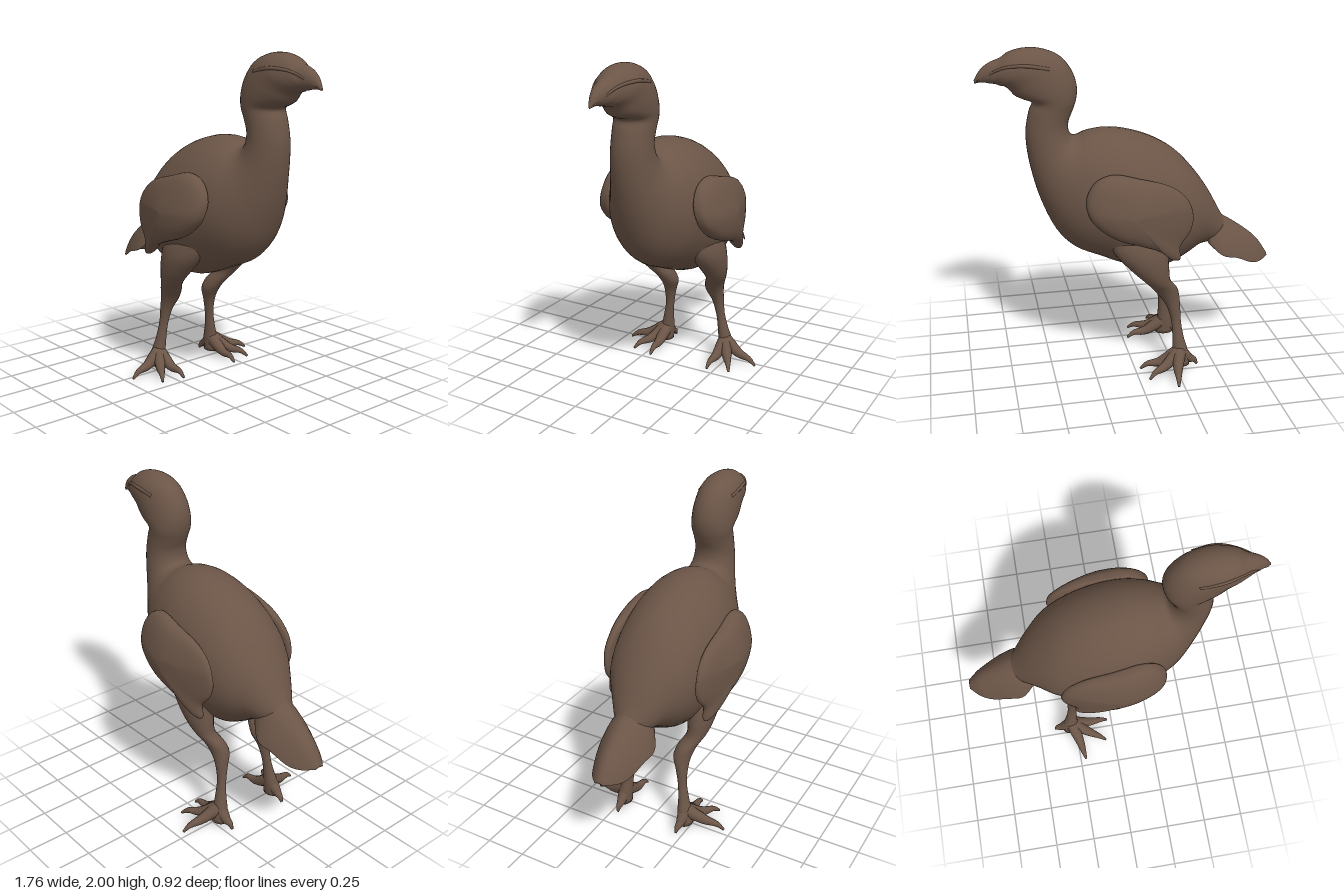
import * as THREE from 'three';

const V = (x, y, z) => new THREE.Vector3(x, y, z);
const brown = new THREE.MeshStandardMaterial({ color: 0x6b5547 });
brown.name = 'brownPlumage';

// Smooth closed skin over a list of rings, with a point in the middle of each end
function skin(rings) {
  const n = rings[0].length, pos = [], idx = [];
  rings.forEach(r => r.forEach(p => pos.push(p.x, p.y, p.z)));
  for (let i = 0; i < rings.length - 1; i++) {
    for (let j = 0; j < n; j++) {
      const a = i * n + j, b = i * n + (j + 1) % n;
      idx.push(a, b, a + n, b, b + n, a + n);
    }
  }
  [0, rings.length - 1].forEach((r, end) => {
    const c = rings[r].reduce((s, p) => s.add(p), V(0, 0, 0)).divideScalar(n);
    const k = pos.length / 3;
    pos.push(c.x, c.y, c.z);
    for (let j = 0; j < n; j++) {
      const a = r * n + j, b = r * n + (j + 1) % n;
      end ? idx.push(k, a, b) : idx.push(k, b, a);
    }
  });
  const g = new THREE.BufferGeometry();
  g.setAttribute('position', new THREE.Float32BufferAttribute(pos, 3));
  g.setIndex(idx);
  g.computeVertexNormals();
  return g;
}

// Ring of points around c with half axes u and v
function ring(c, u, v, n = 16) {
  return Array.from({ length: n }, (_, j) => {
    const a = j / n * Math.PI * 2;
    return c.clone().addScaledVector(u, Math.cos(a)).addScaledVector(v, Math.sin(a));
  });
}

// Spline through values of several columns, sampled evenly by row
function sample(rows, steps) {
  const half = k => new THREE.CatmullRomCurve3(
    rows.map(r => V(r[k] ?? 0, r[k + 1] ?? 0, r[k + 2] ?? 0)), false, 'catmullrom', 0.5);
  const a = half(0), b = half(3);
  return Array.from({ length: steps + 1 }, (_, i) => [...a.getPoint(i / steps), ...b.getPoint(i / steps)]);
}

// Tapering round limb along a path
function limb(points, r0, r1, steps = 10, n = 10) {
  const curve = new THREE.CatmullRomCurve3(points);
  const f = curve.computeFrenetFrames(steps);
  return skin(Array.from({ length: steps + 1 }, (_, i) => {
    const r = r0 + (r1 - r0) * Math.pow(i / steps, 1.5);
    return ring(curve.getPointAt(i / steps), f.normals[i].clone().multiplyScalar(r),
      f.binormals[i].clone().multiplyScalar(r), n);
  }));
}

function mirrored(geo) {
  const g = geo.clone().scale(1, 1, -1);
  g.setIndex(Array.from(geo.index.array).reverse());
  g.computeVertexNormals();
  return g;
}

export function createModel() {
  const group = new THREE.Group();
  const add = (name, geo) => {
    const m = new THREE.Mesh(geo, brown);
    m.name = name;
    group.add(m);
  };
  const addPair = (name, geo) => {
    add(name + 'Right', geo);
    add(name + 'Left', mirrored(geo));
  };

  // Body, neck, head and beak: upper x, y, half width, lower x, y
  const trunk = [
    [-0.63, 0.86, 0.03, -0.6, 0.8], [-0.57, 0.945, 0.1, -0.53, 0.765], [-0.48, 1.11, 0.18, -0.42, 0.752],
    [-0.38, 1.25, 0.25, -0.33, 0.70], [-0.27, 1.365, 0.29, -0.22, 0.645],
    [-0.13, 1.45, 0.315, -0.08, 0.635], [0.02, 1.5, 0.32, 0.05, 0.67],
    [0.14, 1.515, 0.305, 0.19, 0.73], [0.24, 1.505, 0.27, 0.34, 0.80],
    [0.305, 1.482, 0.225, 0.45, 0.92], [0.34, 1.487, 0.175, 0.53, 1.1],
    [0.355, 1.51, 0.143, 0.575, 1.26], [0.36, 1.54, 0.127, 0.6, 1.4],
    [0.355, 1.58, 0.12, 0.605, 1.52], [0.33, 1.64, 0.12, 0.585, 1.63],
    [0.31, 1.7, 0.125, 0.565, 1.69], [0.305, 1.78, 0.13, 0.62, 1.715],
    [0.335, 1.87, 0.13, 0.66, 1.735], [0.4, 1.95, 0.125, 0.69, 1.77],
    [0.5, 1.993, 0.118, 0.715, 1.79], [0.6, 2.0, 0.1, 0.74, 1.795],
    [0.68, 1.982, 0.08, 0.765, 1.805], [0.73, 1.95, 0.06, 0.79, 1.808],
    [0.80, 1.922, 0.04, 0.825, 1.815], [0.85, 1.88, 0.022, 0.855, 1.815],
    [0.88, 1.83, 0.006, 0.88, 1.81],
  ];
  add('bodyNeckAndHead', skin(sample(trunk, 100).map(([tx, ty, w, bx, by]) =>
    ring(V((tx + bx) / 2, (ty + by) / 2, 0), V((tx - bx) / 2, (ty - by) / 2, 0), V(0, 0, w), 40))));

  // Ridge from eye to beak
  addPair('brow', limb([V(0.47, 1.895, 0.105), V(0.6, 1.918, 0.11), V(0.72, 1.905, 0.074),
    V(0.8, 1.865, 0.04), V(0.865, 1.825, 0.012)], 0.012, 0.004, 16, 8));

  // Wings: domed outline, flatter towards the back
  const outline = new THREE.CatmullRomCurve3([
    [-0.32, 1.03], [-0.29, 1.14], [-0.19, 1.23], [0, 1.29], [0.15, 1.32], [0.25, 1.28], [0.305, 1.18],
    [0.29, 1.08], [0.22, 1.0], [0.12, 0.94], [0, 0.9], [-0.12, 0.85], [-0.19, 0.79], [-0.24, 0.785],
    [-0.24, 0.87], [-0.3, 0.95]].map(p => V(p[0], p[1], 0)), true).getPoints(63).slice(0, -1);
  const wing = [];
  for (let i = 0; i <= 20; i++) {
    const phi = 0.04 + i / 20 * (Math.PI - 0.08), s = Math.sin(phi), c = Math.cos(phi);
    wing.push(outline.map(p => {
      const x = 0.04 + (p.x - 0.04) * s, y = 1.07 + (p.y - 1.07) * s;
      const base = 0.335 - 0.2 * Math.max(0, y - 1.1) - 0.3 * x * x;
      const dome = 0.088 * (1 + 1.8 * Math.min(0, x));
      return V(x, y, base + (c > 0 ? dome * Math.pow(c, 0.65) : 0.06 * c));
    }));
  }
  addPair('wing', skin(wing));

  // Legs: centre x, y, z, radius along x and z
  const leg = [
    [0.0, 0.95, 0.16, 0.2, 0.1], [-0.03, 0.81, 0.205, 0.165, 0.095], [-0.08, 0.7, 0.22, 0.12, 0.078],
    [-0.13, 0.61, 0.215, 0.08, 0.06], [-0.185, 0.54, 0.18, 0.075, 0.058],
    [-0.22, 0.475, 0.163, 0.06, 0.055], [-0.245, 0.4, 0.173, 0.04, 0.038],
    [-0.26, 0.3, 0.185, 0.03, 0.027], [-0.27, 0.2, 0.2, 0.036, 0.032],
    [-0.28, 0.12, 0.212, 0.048, 0.042], [-0.28, 0.03, 0.222, 0.058, 0.045],
  ];
  addPair('leg', skin(sample(leg, 40).map(([x, y, z, rx, rz]) =>
    ring(V(x, y, z), V(rx, 0, 0), V(0, 0, rz), 18))));

  // Toes: knuckle and claw tip
  const toes = {
    innerToe: [[-0.15, 0.05, 0.21], [-0.03, 0.012, 0.205]],
    middleToe: [[-0.17, 0.055, 0.28], [-0.06, 0.012, 0.345]],
    outerToe: [[-0.24, 0.06, 0.33], [-0.215, 0.01, 0.455]],
    hindToe: [[-0.34, 0.06, 0.215], [-0.39, 0.012, 0.21]],
  };
  for (const [name, [mid, tip]] of Object.entries(toes)) {
    const pad = V(...mid).lerp(V(...tip), 0.65).setY(0.042);
    addPair(name, limb([V(-0.275, 0.12, 0.215), V(...mid), pad, V(...tip)], 0.042, 0.007, 14));
  }

  // Tail: arched fan, centre x, y, half width, edge drop, half thickness
  const tail = [
    [-0.47, 0.92, 0.12, 0.13, 0.05], [-0.55, 0.9, 0.165, 0.185, 0.04], [-0.65, 0.85, 0.152, 0.165, 0.03],
    [-0.75, 0.785, 0.122, 0.15, 0.022], [-0.82, 0.725, 0.085, 0.1, 0.016], [-0.88, 0.645, 0.03, 0.01, 0.008],
  ];
  add('tailFan', skin(sample(tail, 24).map(([x, y, w, drop, t]) =>
    Array.from({ length: 32 }, (_, j) => {
      const a = j / 32 * Math.PI * 2, c = Math.cos(a);
      return V(x, y - drop * c * c + t * Math.sin(a), w * c);
    }))));

  // Layered feathers under the tail
  for (let i = -2; i <= 2; i++) {
    const z = i * 0.05, reach = 0.27 - Math.abs(i) * 0.04, drop = Math.abs(i) * 0.03;
    add('underTailFeather', skin(sample([[0, 0.02], [0.4, 0.04], [0.8, 0.035], [1, 0.008]], 10).map(([t, w]) =>
      ring(V(-0.5 - reach * t, 0.85 - drop - 0.1 * t, z), V(0.004, 0.012, 0), V(0, 0, -w), 10))));
  }
  return group;
}
